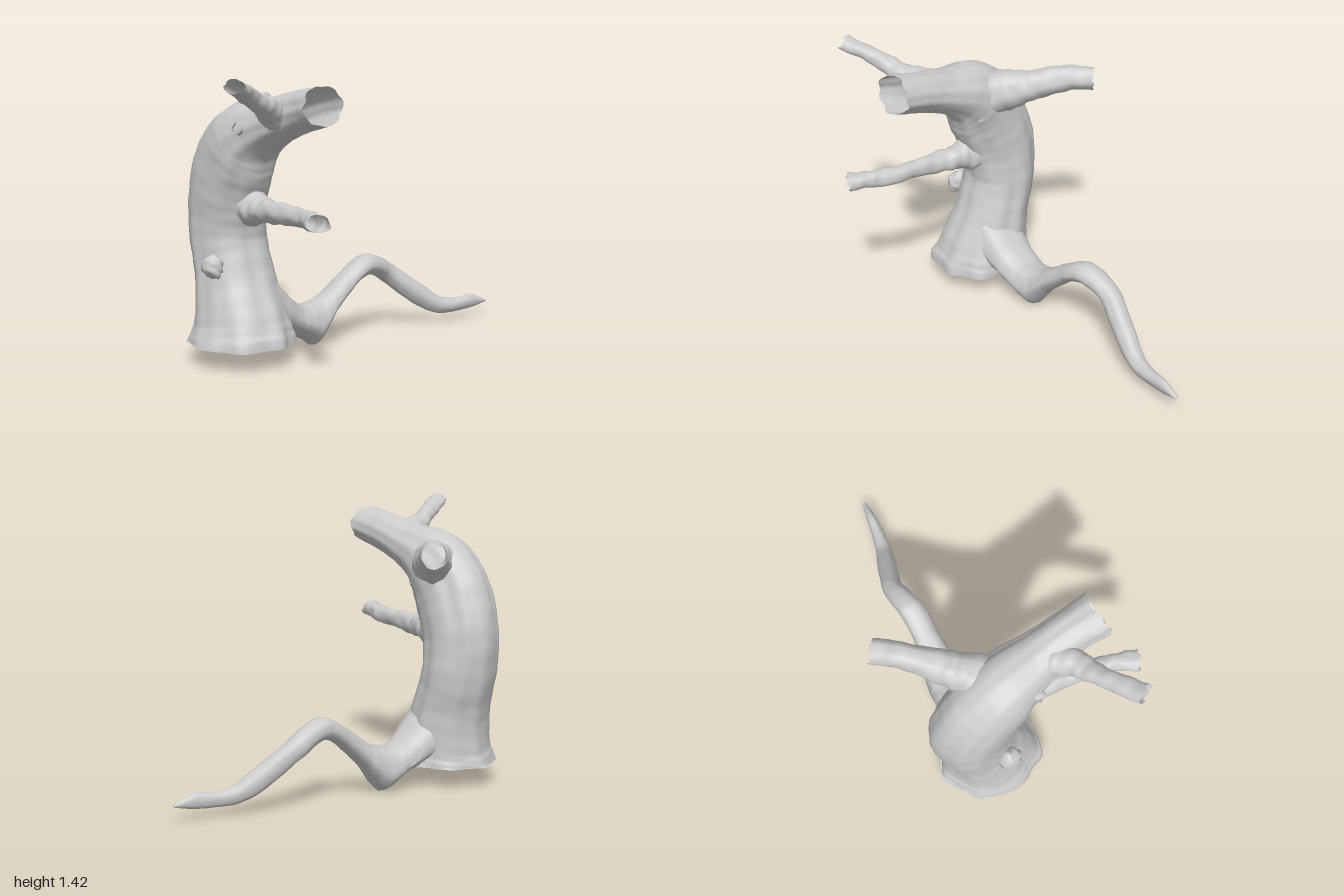
import * as THREE from 'three';
import { toCreasedNormals } from 'three/addons/utils/BufferGeometryUtils.js';

const bark = new THREE.MeshStandardMaterial({ color: 0xcccccc, side: THREE.DoubleSide });

// Long bark ridges around the ring
const ridge = (a, s) => 0.45 * Math.sin(5 * a + 1.5 * s) + 0.35 * Math.sin(9 * a - 2 * s + 1) + 0.25 * Math.sin(13 * a + 3 * s);
// Lumps along the length
const lumps = (a, s) => 0.5 * Math.sin(27 * s + 2 * a) + 0.35 * Math.sin(51 * s - 3 * a) + 0.3 * Math.sin(83 * s + a);

// Sweeps an uneven ellipse along rows of [x, y, z, sideRadius, upRadius]; the ends stay open
function limb(name, rows, { sides = 18, steps = 48, rough = 0.06, lump = 0.1, side = null, upright = false, base = null, jag = 0.006 } = {}) {
  const path = new THREE.CatmullRomCurve3(rows.map(r => new THREE.Vector3(r[0], r[1], r[2])), false, 'centripetal');
  const size = new THREE.CatmullRomCurve3(rows.map((r, i) => new THREE.Vector3(r[3], r[4], i * 0.1)), false, 'centripetal');
  const length = path.getLength();
  const pos = [], idx = [];
  const up = new THREE.Vector3(0, 1, 0);
  for (let i = 0; i <= steps; i++) {
    const t = i / steps;
    const c = path.getPoint(t), T = path.getTangent(t), r = size.getPoint(t);
    const S = side ? side.clone() : new THREE.Vector3().crossVectors(T, up).normalize();
    const U = upright ? up.clone().negate() : new THREE.Vector3().crossVectors(T, S).normalize();
    for (let j = 0; j < sides; j++) {
      const a = j / sides * Math.PI * 2;
      let k = 1 + rough * ridge(a, t * length) + lump * lumps(a, t * length);
      // Toes where a limb stands on the ground
      if (base !== null) k += 0.04 * Math.pow(1 - t, 8) * Math.sin(8 * a + 0.6);
      const p = c.clone().addScaledVector(S, Math.cos(a) * r.x * k).addScaledVector(U, Math.sin(a) * r.y * k);
      if (i === steps) p.addScaledVector(T, jag * (Math.sin(3 * a) + Math.sin(7 * a + 1)));
      if (base !== null) p.y = i === 0 ? base : Math.max(base, p.y);
      pos.push(p.x, Math.max(0, p.y), p.z);
    }
  }
  for (let i = 0; i < steps; i++) {
    for (let j = 0; j < sides; j++) {
      const a = i * sides + j, b = i * sides + (j + 1) % sides;
      idx.push(a, b, a + sides, b, b + sides, a + sides);
    }
  }
  const g = new THREE.BufferGeometry();
  g.setAttribute('position', new THREE.Float32BufferAttribute(pos, 3));
  g.setIndex(idx);
  const mesh = new THREE.Mesh(toCreasedNormals(g, 1), bark);
  mesh.name = name;
  return mesh;
}

// Lumpy growth on the bark
function burl(name, x, y, z, sx, sy, sz) {
  const g = new THREE.SphereGeometry(1, 14, 10);
  const p = g.attributes.position, v = new THREE.Vector3();
  for (let i = 0; i < p.count; i++) {
    v.fromBufferAttribute(p, i);
    v.multiplyScalar(1 + 0.12 * Math.sin(5 * v.x + 7 * v.y) + 0.1 * Math.sin(6 * v.z - 4 * v.y));
    p.setXYZ(i, v.x * sx, v.y * sy, v.z * sz);
  }
  g.computeVertexNormals();
  const mesh = new THREE.Mesh(g, bark);
  mesh.name = name;
  mesh.position.set(x, y, z);
  return mesh;
}

export function createModel() {
  const tree = new THREE.Group();
  tree.name = 'brokenTree';

  // Trunk rises, then bends forward to a broken hollow end
  tree.add(limb('trunk', [
    [-0.565, 0.10, -0.18, 0.25, 0.275],
    [-0.555, 0.20, -0.195, 0.222, 0.235],
    [-0.545, 0.40, -0.245, 0.195, 0.19],
    [-0.545, 0.60, -0.295, 0.185, 0.188],
    [-0.555, 0.80, -0.28, 0.178, 0.205],
    [-0.56, 0.99, -0.20, 0.173, 0.205],
    [-0.555, 1.11, -0.10, 0.165, 0.17],
    [-0.535, 1.19, 0.08, 0.125, 0.113],
    [-0.52, 1.245, 0.25, 0.105, 0.1],
    [-0.52, 1.28, 0.40, 0.115, 0.092],
  ], { sides: 64, steps: 90, rough: 0.04, lump: 0.012, side: new THREE.Vector3(1, 0, 0), base: 0.1, jag: 0.008 }));

  // Upper branch reaching forward and to the right
  tree.add(limb('upperRightBranch', [
    [-0.52, 1.18, 0.07, 0.07, 0.07],
    [-0.60, 1.23, 0.15, 0.085, 0.075],
    [-0.68, 1.265, 0.2, 0.06, 0.055],
    [-0.76, 1.3, 0.235, 0.05, 0.043],
    [-0.86, 1.345, 0.285, 0.046, 0.038],
    [-0.97, 1.39, 0.35, 0.05, 0.033],
  ]));

  // Upper branch reaching backward and to the left
  tree.add(limb('upperBackBranch', [
    [-0.53, 1.095, -0.14, 0.13, 0.13],
    [-0.43, 1.125, -0.225, 0.105, 0.11],
    [-0.37, 1.145, -0.285, 0.085, 0.09],
    [-0.31, 1.165, -0.35, 0.073, 0.076],
    [-0.21, 1.2, -0.46, 0.06, 0.066],
    [-0.125, 1.195, -0.56, 0.06, 0.058],
  ], { sides: 24, lump: 0.06 }));

  // Thin branch pointing forward
  tree.add(limb('frontBranch', [
    [-0.55, 0.76, -0.2, 0.1, 0.1],
    [-0.555, 0.765, -0.1, 0.09, 0.09],
    [-0.56, 0.765, -0.02, 0.068, 0.068],
    [-0.575, 0.768, 0.08, 0.05, 0.055],
    [-0.59, 0.775, 0.22, 0.042, 0.047],
    [-0.62, 0.78, 0.40, 0.042, 0.044],
    [-0.65, 0.785, 0.48, 0.042, 0.042],
    [-0.695, 0.79, 0.575, 0.055, 0.042],
  ], { lump: 0.12, steps: 60 }));

  // Long root that dips to a sharp keel, arches up and tapers to a tip
  tree.add(limb('root', [
    [-0.43, 0.275, -0.18, 0.14, 0.165],
    [-0.34, 0.215, -0.18, 0.13, 0.115],
    [-0.26, 0.165, -0.18, 0.12, 0.088],
    [-0.19, 0.133, -0.18, 0.112, 0.09],
    [-0.12, 0.114, -0.18, 0.105, 0.112],
    [-0.06, 0.153, -0.178, 0.092, 0.092],
    [0.0, 0.21, -0.175, 0.078, 0.07],
    [0.10, 0.29, -0.175, 0.066, 0.06],
    [0.17, 0.34, -0.175, 0.066, 0.055],
    [0.24, 0.364, -0.18, 0.066, 0.054],
    [0.32, 0.345, -0.19, 0.06, 0.056],
    [0.40, 0.298, -0.195, 0.055, 0.062],
    [0.50, 0.22, -0.165, 0.052, 0.068],
    [0.60, 0.148, -0.13, 0.05, 0.065],
    [0.70, 0.093, -0.095, 0.042, 0.045],
    [0.80, 0.085, -0.075, 0.032, 0.038],
    [0.90, 0.09, -0.062, 0.024, 0.036],
    [1.0, 0.08, -0.05, 0.01, 0.006],
  ], { sides: 24, steps: 90, lump: 0.025, upright: true, jag: 0 }));

  // Knots and burls on the trunk
  tree.add(burl('sideBurl', -0.735, 0.485, -0.165, 0.047, 0.055, 0.06));
  tree.add(burl('leftKnot', -0.425, 1.02, -0.08, 0.02, 0.033, 0.03));
  tree.add(limb('rightKnot', [[-0.65, 1.15, -0.02, 0.035, 0.035], [-0.68, 1.155, -0.01, 0.03, 0.03], [-0.705, 1.16, 0, 0.026, 0.026]],
    { sides: 12, steps: 6, lump: 0.02, jag: 0.002 }));
  return tree;
}
